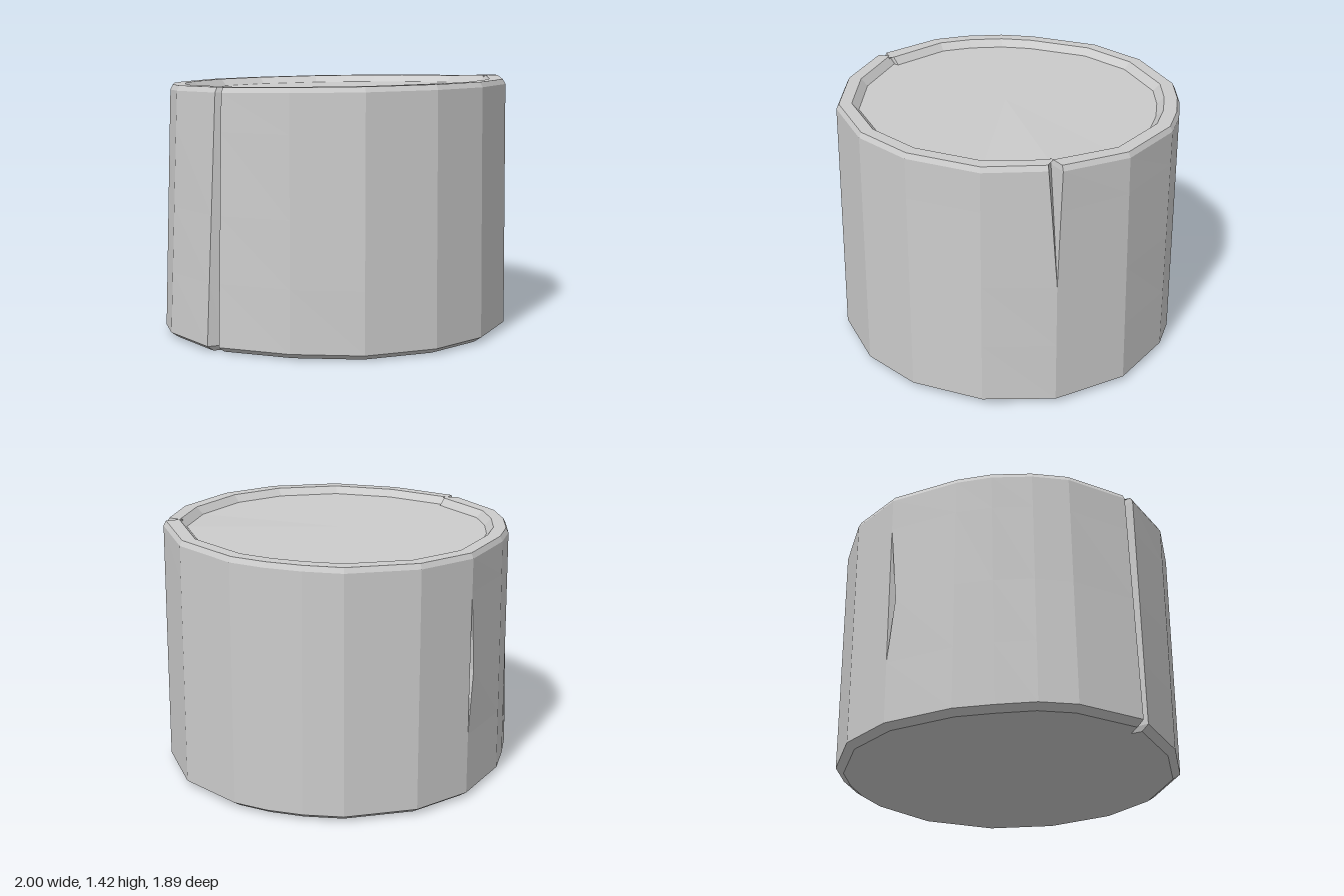
import * as THREE from 'three';

// How far each crack is open at every ring, bottom to top
const SPLIT = [1, 1, 1, 1, 1, 1, 1, 0, 0];   // full height
const NOTCH = [0, 0, 0, 0, 0.65, 1, 1, 0, 0]; // upper half
const SLIT = [0, 0, 0, 1, 0, 0, 0, 0, 0];     // middle only

// Rings: height, scale of the outline
const RINGS = [
  [0, 0.955], [0.03, 1], [0.37, 1], [0.73, 1], [1.17, 1], [1.372, 1],
  [1.4, 0.985], [1.4, 0.91], [1.36, 0.87],
];

// Columns around the log: foot x, z, top x, z, then crack offset x, z and profile
const COLUMNS = [
  [-0.15, -0.94, -0.15, -0.94, -0.04, 0.015, SLIT],
  [-0.15, -0.94, -0.15, -0.94, -0.015, 0.07, SLIT],
  [-0.15, -0.94, -0.15, -0.94],
  [0.2, -0.945, 0.2, -0.945],
  [0.57, -0.79, 0.57, -0.79],
  [0.73, -0.64, 0.72, -0.64],
  [0.85, -0.48, 0.84, -0.48],
  [0.94, -0.3, 0.935, -0.3],
  [1, 0.1, 0.985, 0.11],
  [0.87, 0.51, 0.86, 0.51, 0.01, -0.02, NOTCH],
  [0.87, 0.51, 0.86, 0.51, -0.09, -0.04, NOTCH],
  [0.87, 0.51, 0.86, 0.51, -0.04, 0.03, NOTCH],
  [0.59, 0.79, 0.58, 0.78],
  [0.21, 0.945, 0.2, 0.935],
  [-0.15, 0.945, -0.15, 0.935],
  [-0.53, 0.79, -0.52, 0.78],
  [-0.79, 0.5, -0.775, 0.49],
  [-0.985, 0.11, -0.945, 0.105, 0.015, 0.025, SPLIT],
  [-0.985, 0.105, -0.925, 0.105, 0.075, 0.005, SPLIT],
  [-0.985, 0.1, -0.91, 0.1, -0.015, -0.025, SPLIT],
  [-0.95, -0.31, -0.89, -0.3],
  [-0.85, -0.49, -0.8, -0.48],
  [-0.69, -0.64, -0.665, -0.65],
  [-0.52, -0.78, -0.51, -0.77],
];

function point(c, r) {
  const [bx, bz, tx, tz, ox = 0, oz = 0, open] = COLUMNS[c % COLUMNS.length];
  const [y, s] = RINGS[r];
  const t = Math.min(y / 1.4, 1), w = open ? open[r] : 0;
  const x = (bx + (tx - bx) * t + ox * w) * s;
  const z = (bz + (tz - bz) * t + oz * w) * s;
  // the top tilts towards the front and lifts beside the notch
  const lift = r > 4 ? 0.022 * z + (open === NOTCH ? 0.012 : 0) : 0;
  return [x, y + lift, z];
}

function mesh(name, positions, material) {
  const g = new THREE.BufferGeometry();
  g.setAttribute('position', new THREE.Float32BufferAttribute(positions, 3));
  g.computeVertexNormals();
  const m = new THREE.Mesh(g, material);
  m.name = name;
  return m;
}

// Walls between two rings
function band(name, from, to, material) {
  const p = [];
  for (let r = from; r < to; r++) {
    for (let c = 0; c < COLUMNS.length; c++) {
      const a = point(c, r), b = point(c + 1, r), d = point(c, r + 1), e = point(c + 1, r + 1);
      p.push(...a, ...d, ...e, ...a, ...e, ...b);
    }
  }
  return mesh(name, p, material);
}

// Closed face on one ring
function cap(name, r, up, material) {
  const p = [], centre = [0, RINGS[r][0], 0];
  for (let c = 0; c < COLUMNS.length; c++) {
    const a = point(c, r), b = point(c + 1, r);
    p.push(...centre, ...(up ? b : a), ...(up ? a : b));
  }
  return mesh(name, p, material);
}

export function createModel() {
  const group = new THREE.Group();
  group.name = 'log';
  const wood = new THREE.MeshStandardMaterial({ color: 0xcccccc, flatShading: true, side: THREE.DoubleSide });
  group.add(
    cap('bottomFace', 0, false, wood),
    band('bark', 0, 5, wood),
    band('barkRim', 5, 8, wood),
    cap('topFace', 8, true, wood),
  );
  return group;
}
